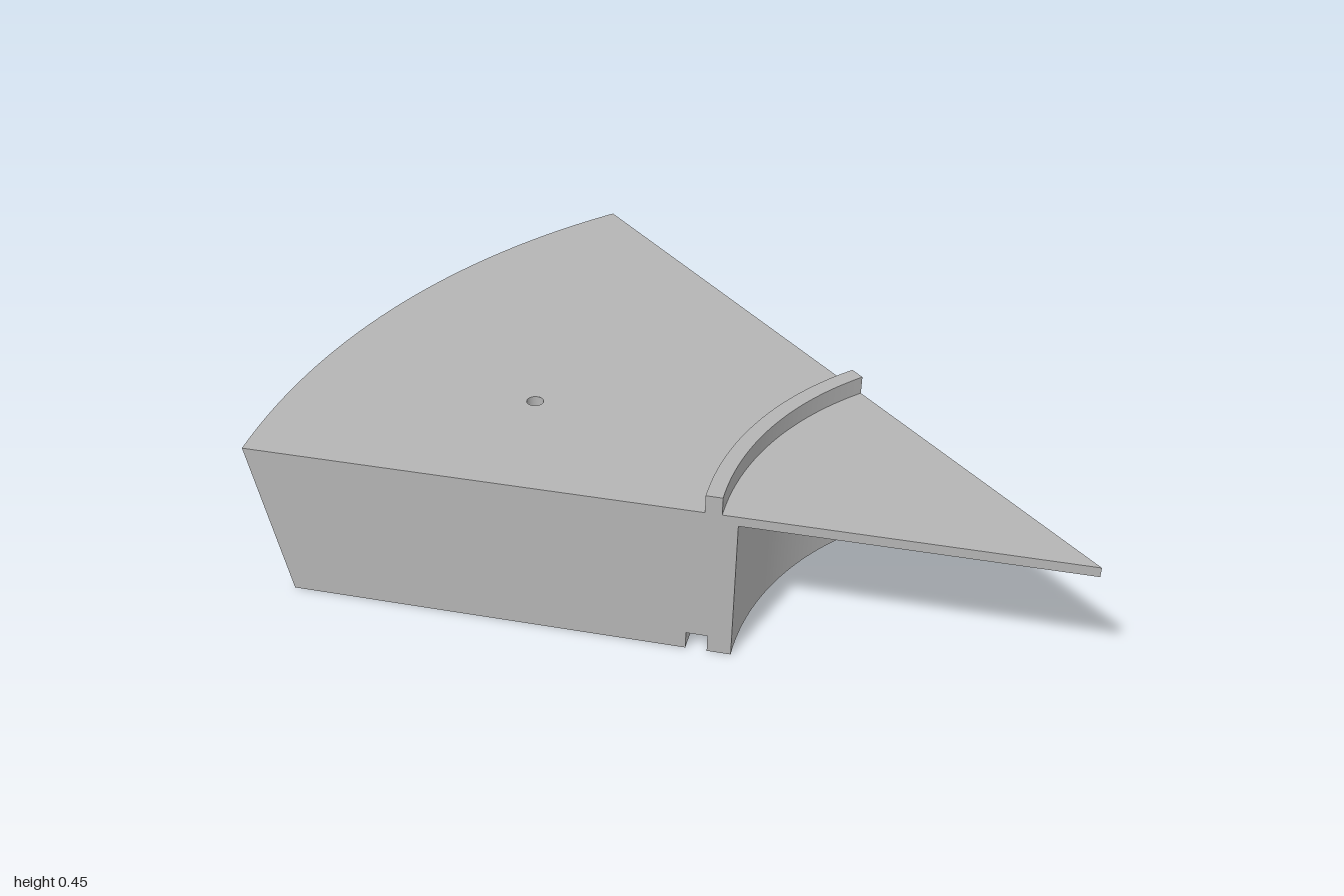
import * as THREE from 'three';

const START = Math.PI, SWEEP = Math.PI / 4, SEGMENTS = 48;
const TOP = 0.405, HOLE = { x: -0.712, z: -1.23, r: 0.021 };

// Cross-section (radius, height), counter-clockwise; "drilled" edges carry the pin hole
const PROFILE = [
  { r: 0.91, y: 0, drilled: 'underside' },
  { r: 1.905, y: 0, name: 'outerWall' },
  { r: 2, y: TOP, drilled: 'topSurface' },
  { r: 0.878, y: TOP, name: 'rimOuterWall' },
  { r: 0.878, y: 0.452, name: 'rimTop' },
  { r: 0.838, y: 0.452, name: 'rimInnerWall' },
  { r: 0.838, y: TOP, name: 'ledgeTop' },
  { r: 0, y: TOP },
  { r: 0, y: 0.38, name: 'ledgeUnderside' },
  { r: 0.8, y: 0.38, name: 'innerWall' },
  { r: 0.8, y: 0, name: 'lipUnderside' },
  { r: 0.858, y: 0, name: 'grooveInnerWall' },
  { r: 0.858, y: 0.046, name: 'grooveRoof' },
  { r: 0.91, y: 0.046, name: 'grooveOuterWall' },
];

// One swept face of the cross-section
function sweep(a, b) {
  const points = [new THREE.Vector2(a.r, a.y), new THREE.Vector2(b.r, b.y)];
  return new THREE.LatheGeometry(points, SEGMENTS, START, SWEEP);
}

// Flat ring sector with the pin hole; up = 1 faces upward, -1 downward
function drilledSector(rIn, rOut, y, up) {
  const a0 = up * Math.PI / 2, a1 = up * (Math.PI / 2 + SWEEP);
  const shape = new THREE.Shape();
  shape.absarc(0, 0, rOut, a0, a1, up < 0);
  shape.absarc(0, 0, rIn, a1, a0, up > 0);
  const hole = new THREE.Path();
  hole.absarc(HOLE.x, -up * HOLE.z, HOLE.r, 0, Math.PI * 2, true);
  shape.holes.push(hole);
  return new THREE.ShapeGeometry(shape, SEGMENTS).rotateX(-up * Math.PI / 2).translate(0, y, 0);
}

// Flat cut face closing the sweep; side = 1 at its start, -1 at its end
function cutFace(side) {
  const shape = new THREE.Shape(PROFILE.map(p => new THREE.Vector2(side * p.r, p.y)));
  const angle = side > 0 ? START - Math.PI / 2 : START + SWEEP + Math.PI / 2;
  return new THREE.ShapeGeometry(shape).rotateY(angle);
}

export function createModel() {
  const grey = new THREE.MeshStandardMaterial({ color: 0xb4b4b4 });
  grey.name = 'grey';

  const wedge = new THREE.Group();
  wedge.name = 'wedgeSegment';
  const add = (name, geometry) => {
    const mesh = new THREE.Mesh(geometry, grey);
    mesh.name = name;
    wedge.add(mesh);
    return mesh;
  };

  // Walls, rim, ledge and groove
  PROFILE.forEach((a, i) => {
    const b = PROFILE[(i + 1) % PROFILE.length];
    if (a.drilled) {
      add(a.drilled, drilledSector(Math.min(a.r, b.r), Math.max(a.r, b.r), a.y, a.y > 0 ? 1 : -1));
    } else if (a.name) {
      add(a.name, sweep(a, b));
    }
  });

  // Straight cut sides
  add('leftCutFace', cutFace(1));
  add('rightCutFace', cutFace(-1));

  // Pin hole wall, facing inward
  const bore = [new THREE.Vector2(HOLE.r, TOP), new THREE.Vector2(HOLE.r, 0)];
  add('pinHole', new THREE.LatheGeometry(bore, SEGMENTS)).position.set(HOLE.x, 0, HOLE.z);

  // Place the tip of the wedge at the front left
  wedge.position.set(Math.SQRT1_2, 0, 1);
  const model = new THREE.Group();
  model.name = 'model';
  model.add(wedge);
  return model;
}
